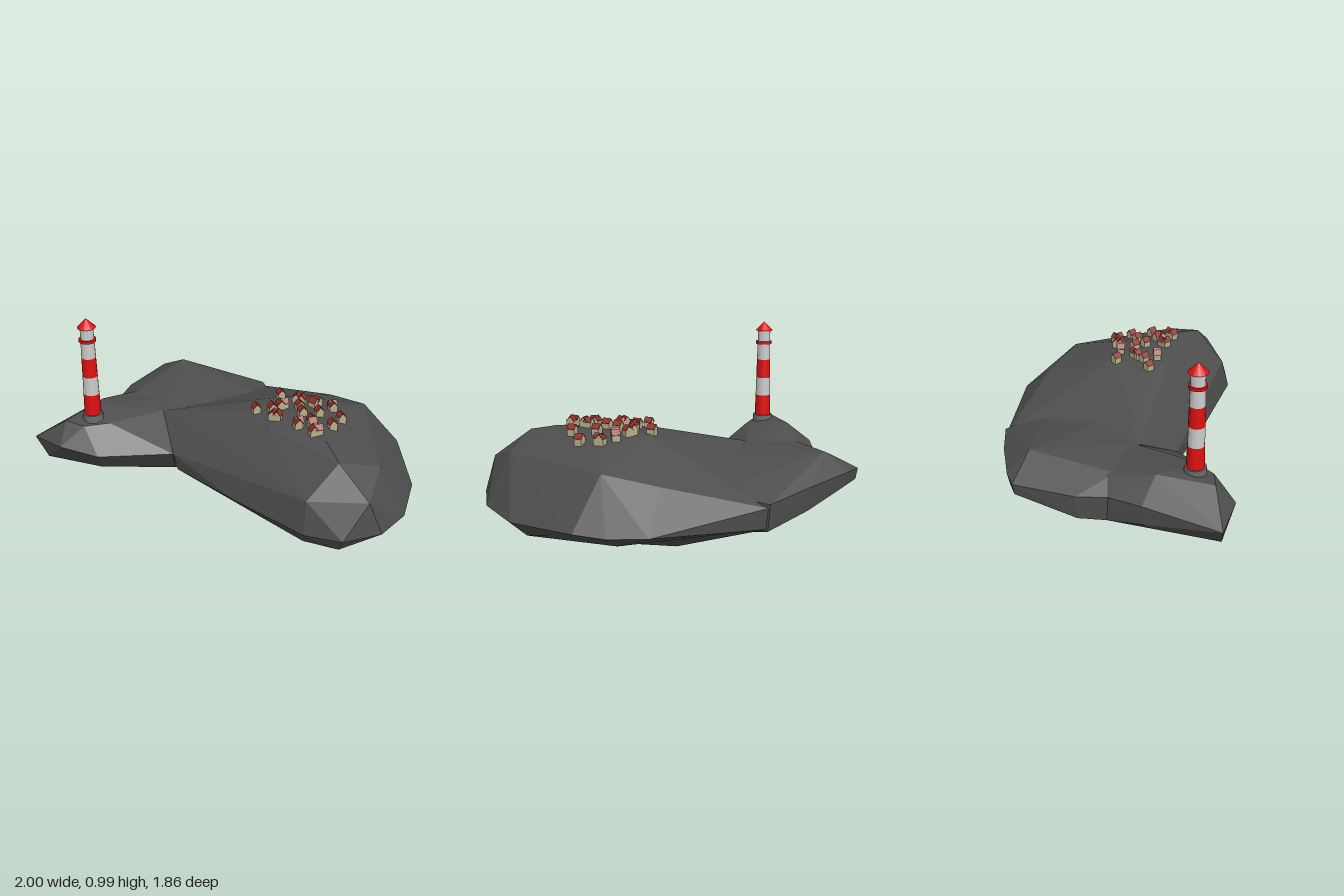
import * as THREE from 'three';
import { ConvexGeometry } from 'three/addons/geometries/ConvexGeometry.js';

const paint = (color) => new THREE.MeshStandardMaterial({ color, flatShading: true });
const rock = paint(0x4e4e4e), red = paint(0xe01010), white = paint(0xdddddd);
const stone = paint(0x6a6a6a), plaster = paint(0xb8b08a), tiles = paint(0x8e3029);

function mesh(name, geometry, material) {
  const m = new THREE.Mesh(geometry, material);
  m.name = name;
  return m;
}

// A faceted boulder: the hull of a few corner points
function boulder(name, corners) {
  return mesh(name, new ConvexGeometry(corners.map((c) => new THREE.Vector3(...c))), rock);
}

// Main hill: crown, shoulders, widest rim, underside
const hill = [
  [0.12, 0.505, 0.10], [0.16, 0.515, 0.30], [0.36, 0.528, 0.04], [0.39, 0.542, 0.30], [0.39, 0.535, 0.56],
  [0.58, 0.505, 0.20], [0.40, 0.50, 0.72], [0.63, 0.435, 0.70], [0.80, 0.44, 0.08], [0.70, 0.38, -0.18],
  [0.43, 0.30, -0.36], [0.10, 0.33, -0.33],
  [0.50, 0.36, 0.89], [0.22, 0.34, 0.77], [-0.28, 0.37, -0.25], [-0.28, 0.23, 0.0],
  [0.91, 0.20, -0.22], [0.97, 0.19, -0.03], [1.0, 0.20, 0.13], [0.91, 0.17, 0.53], [0.75, 0.17, 0.78],
  [0.57, 0.18, 0.91], [0.36, 0.18, 0.925], [0.20, 0.17, 0.81], [-0.05, 0.16, 0.41], [-0.26, 0.14, 0.02],
  [0.43, 0.25, -0.63],
  [0.84, 0.085, 0.48], [0.66, 0.085, 0.64], [0.36, 0.105, 0.88], [0.22, 0.09, 0.75], [0.02, 0.08, 0.30],
  [-0.20, 0.085, 0.0], [0.80, 0.09, 0.0], [0.43, 0.14, -0.62],
];

// Lowest rock under the hill
const keel = [
  [0.55, 0.03, -0.20], [0.28, 0.03, -0.34], [0.05, 0.0, -0.06], [-0.25, 0.08, -0.10],
  [0.10, 0.09, 0.20], [0.60, 0.09, 0.15], [0.78, 0.10, 0.0], [0.43, 0.14, -0.62],
  [-0.20, 0.10, -0.30], [0.30, 0.20, 0.0],
];

// Low shoulder behind the hill
const ridge = [
  [-0.14, 0.33, -0.93], [-0.14, 0.27, -0.92], [-0.04, 0.33, -0.90], [-0.05, 0.425, -0.77],
  [-0.08, 0.41, -0.62], [0.20, 0.31, -0.78], [0.43, 0.27, -0.64], [0.43, 0.29, -0.33],
  [-0.39, 0.31, -0.73], [-0.48, 0.30, -0.60], [-0.41, 0.365, -0.50], [-0.28, 0.37, -0.25],
  [0.05, 0.36, -0.25], [-0.03, 0.25, -0.88], [0.20, 0.18, -0.76], [0.43, 0.13, -0.63],
  [-0.39, 0.18, -0.72], [-0.47, 0.16, -0.60], [-0.05, 0.16, -0.72],
  [-0.28, 0.09, -0.30], [0.05, 0.0, -0.06], [0.30, 0.04, -0.37],
];

// Headland carrying the tower, running back into the ridge
const headland = [
  [-1.0, 0.27, -0.32], [-0.94, 0.16, -0.27], [-0.88, 0.29, -0.13], [-0.83, 0.40, -0.22],
  [-0.62, 0.42, -0.32], [-0.60, 0.415, -0.40], [-0.74, 0.39, -0.15], [-0.60, 0.39, -0.15],
  [-0.69, 0.25, -0.04], [-0.42, 0.26, -0.06], [-0.65, 0.31, -0.525], [-0.65, 0.20, -0.515],
  [-0.48, 0.30, -0.60], [-0.47, 0.16, -0.60], [-0.28, 0.37, -0.26], [-0.28, 0.23, 0.0],
  [-0.30, 0.34, -0.60], [-0.18, 0.36, -0.35], [-0.20, 0.16, -0.50],
  [-0.66, 0.135, -0.12], [-0.60, 0.14, -0.42], [-0.25, 0.08, -0.10], [-0.28, 0.09, -0.36],
];

// Striped tower, each band: name, bottom, top, lower radius, upper radius, material
function lighthouse() {
  const g = new THREE.Group();
  g.name = 'lighthouse';
  const bands = [
    ['foundation', 0.39, 0.435, 0.058, 0.055, stone],
    ['lowerRedBand', 0.435, 0.555, 0.046, 0.043, red],
    ['lowerWhiteBand', 0.555, 0.66, 0.043, 0.041, white],
    ['upperRedBand', 0.66, 0.77, 0.041, 0.039, red],
    ['upperWhiteBand', 0.77, 0.865, 0.039, 0.037, white],
    ['gallery', 0.862, 0.878, 0.046, 0.046, red],
    ['lanternRoom', 0.878, 0.945, 0.036, 0.036, white],
    ['roof', 0.942, 0.992, 0.05, 0, red],
  ];
  for (const [name, y0, y1, r0, r1, mat] of bands) {
    const m = mesh(name, new THREE.CylinderGeometry(r1, r0, y1 - y0, 16), mat);
    m.position.y = (y0 + y1) / 2;
    g.add(m);
  }
  g.position.set(-0.68, 0, -0.22);
  return g;
}

// Gabled house with its ridge along z, origin at ground level
const W = 0.042, D = 0.042, EAVE = 0.029, PEAK = 0.052;
const wallShape = new THREE.Shape([
  [-W / 2, -0.02], [W / 2, -0.02], [W / 2, EAVE], [0, PEAK], [-W / 2, EAVE],
].map((p) => new THREE.Vector2(...p)));
const wallGeo = new THREE.ExtrudeGeometry(wallShape, { depth: D, bevelEnabled: false }).translate(0, 0, -D / 2);
const pitch = Math.atan2(PEAK - EAVE, W / 2);
const roofGeo = new THREE.BoxGeometry(0.032, 0.004, D + 0.003);

function house() {
  const g = new THREE.Group();
  g.name = 'house';
  g.add(mesh('walls', wallGeo, plaster));
  for (const s of [-1, 1]) {
    const slab = mesh('roofSlope', roofGeo, tiles);
    slab.position.set(s * W * 0.26, (EAVE + PEAK) / 2 + 0.002, 0);
    slab.rotation.z = -s * pitch;
    g.add(slab);
  }
  return g;
}

// House plots: x, z, turn
const plots = [
  [0.32, 0.04, 0], [0.15, 0.14, 0], [0.23, 0.17, 0], [0.28, 0.16, 0], [0.30, 0.155, 1.57],
  [0.385, 0.12, -0.6], [0.41, 0.135, -0.6], [0.46, 0.18, 0.6], [0.485, 0.165, 0.6], [0.37, 0.21, 0],
  [0.55, 0.225, 0], [0.555, 0.21, 1.57], [0.21, 0.25, -0.6], [0.23, 0.265, -0.6], [0.36, 0.28, 0],
  [0.45, 0.29, 0], [0.56, 0.33, 0], [0.30, 0.385, 0], [0.31, 0.37, 1.57], [0.375, 0.38, 0],
  [0.37, 0.405, 1.57], [0.475, 0.42, 0], [0.35, 0.48, 0], [0.375, 0.48, 1.57],
];

export function createModel() {
  const model = new THREE.Group();
  model.name = 'lighthouseIsland';
  const hillMesh = boulder('hill', hill);
  model.add(hillMesh, boulder('keel', keel), boulder('backRidge', ridge), boulder('headland', headland), lighthouse());

  // Set each house on the surface of the hill
  const village = new THREE.Group();
  village.name = 'village';
  const ray = new THREE.Raycaster();
  const down = new THREE.Vector3(0, -1, 0);
  for (const [x, z, turn] of plots) {
    ray.set(new THREE.Vector3(x, 2, z), down);
    const h = house();
    h.position.set(x, ray.intersectObject(hillMesh)[0].point.y, z);
    h.rotation.y = turn;
    village.add(h);
  }
  model.add(village);
  return model;
}
